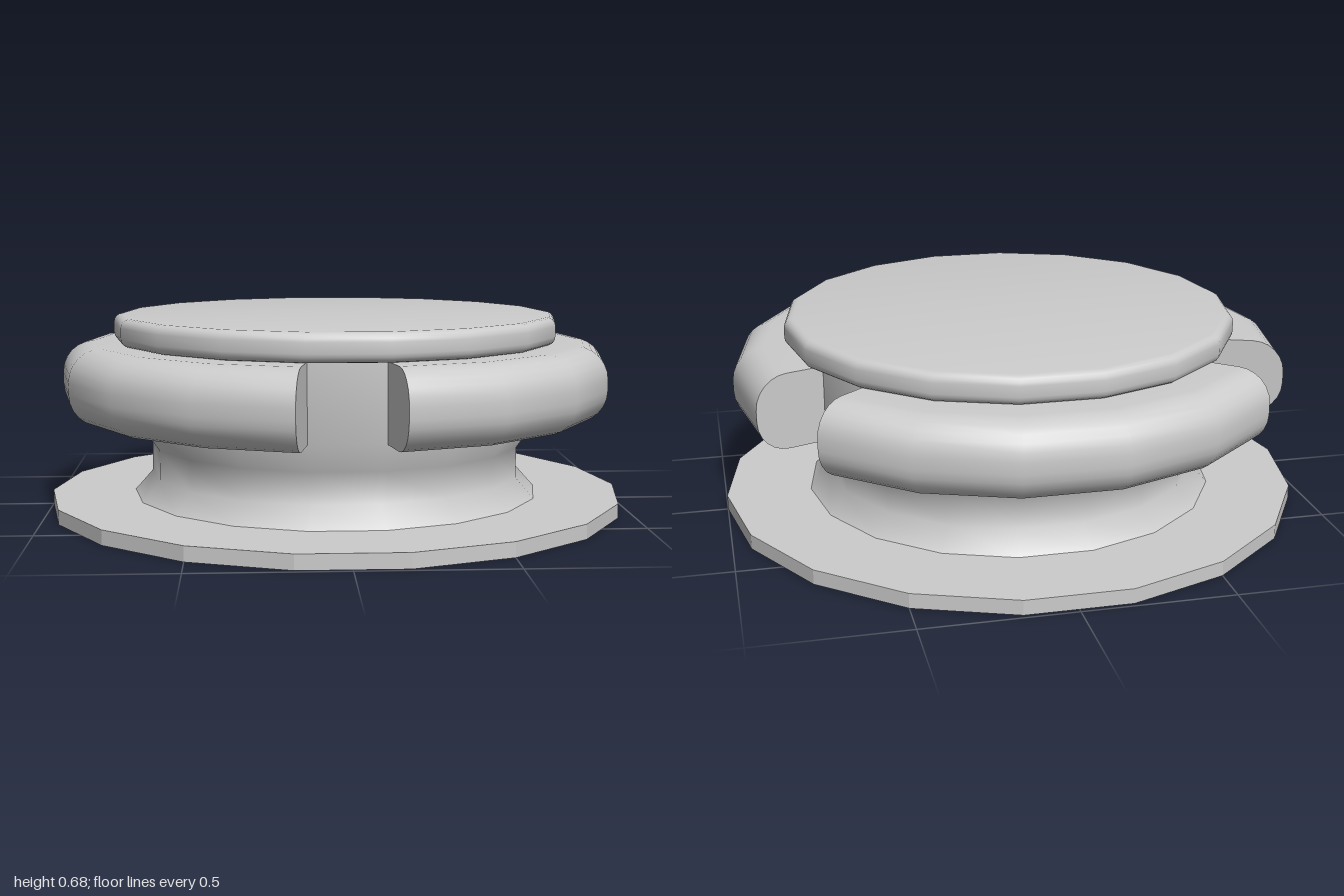
import * as THREE from 'three';
import { toCreasedNormals } from 'three/addons/utils/BufferGeometryUtils.js';

const SIDES = 18;
const STEP = (Math.PI * 2) / SIDES;
const START = STEP / 2; // a flat side faces the front

const material = new THREE.MeshStandardMaterial({ color: 0xcccccc });
const flatMaterial = new THREE.MeshStandardMaterial({ color: 0xcccccc, flatShading: true });
const endMaterial = new THREE.MeshStandardMaterial({ color: 0xcccccc, side: THREE.DoubleSide });

function addMesh(parent, name, geometry, mat = material) {
  const mesh = new THREE.Mesh(geometry, mat);
  mesh.name = name;
  parent.add(mesh);
  return mesh;
}

// Profile of a disc or band with rounded outer corners, from inner bottom to inner top
function roundedProfile(inner, outer, bottom, top, radius, steps) {
  const points = [new THREE.Vector2(inner, bottom)];
  for (const [cy, from] of [[bottom + radius, -Math.PI / 2], [top - radius, 0]]) {
    for (let i = 0; i <= steps; i++) {
      const a = from + (i / steps) * Math.PI / 2;
      points.push(new THREE.Vector2(outer - radius + radius * Math.cos(a), cy + radius * Math.sin(a)));
    }
  }
  points.push(new THREE.Vector2(inner, top));
  return points;
}

export function createModel() {
  const group = new THREE.Group();
  group.name = 'pedestal';

  // Thin base plate
  const base = addMesh(group, 'basePlate',
    new THREE.CylinderGeometry(1, 1, 0.05, SIDES, 1, false, START), flatMaterial);
  base.position.y = 0.025;

  // Waisted neck, running up behind the ring segments
  const neck = [[0.71, 0.05], [0.648, 0.12], [0.648, 0.225], [0.715, 0.322], [0.715, 0.58]]
    .map(([r, y]) => new THREE.Vector2(r, y));
  addMesh(group, 'neck', new THREE.LatheGeometry(neck, SIDES, START));

  // Three rounded ring segments with one-facet gaps between them
  const profile = roundedProfile(0.71, 0.955, 0.322, 0.58, 0.11, 6);
  const endGeometry = new THREE.ShapeGeometry(new THREE.Shape(profile));
  const arc = STEP * 5;
  for (let i = 0; i < 3; i++) {
    const segment = new THREE.Group();
    segment.name = 'ringSegment' + (i + 1);
    segment.rotation.y = i * Math.PI * 2 / 3;
    const band = new THREE.LatheGeometry(profile, 5, START, arc);
    addMesh(segment, 'band', toCreasedNormals(band, Math.PI / 6));
    for (const angle of [START, START + arc]) {
      const end = addMesh(segment, 'endFace', endGeometry, endMaterial);
      end.rotation.y = angle - Math.PI / 2;
    }
    group.add(segment);
  }

  // Rounded cap disc
  const cap = new THREE.LatheGeometry(roundedProfile(0, 0.775, 0.58, 0.675, 0.03, 4), SIDES, START);
  addMesh(group, 'cap', toCreasedNormals(cap, Math.PI / 6));

  return group;
}
